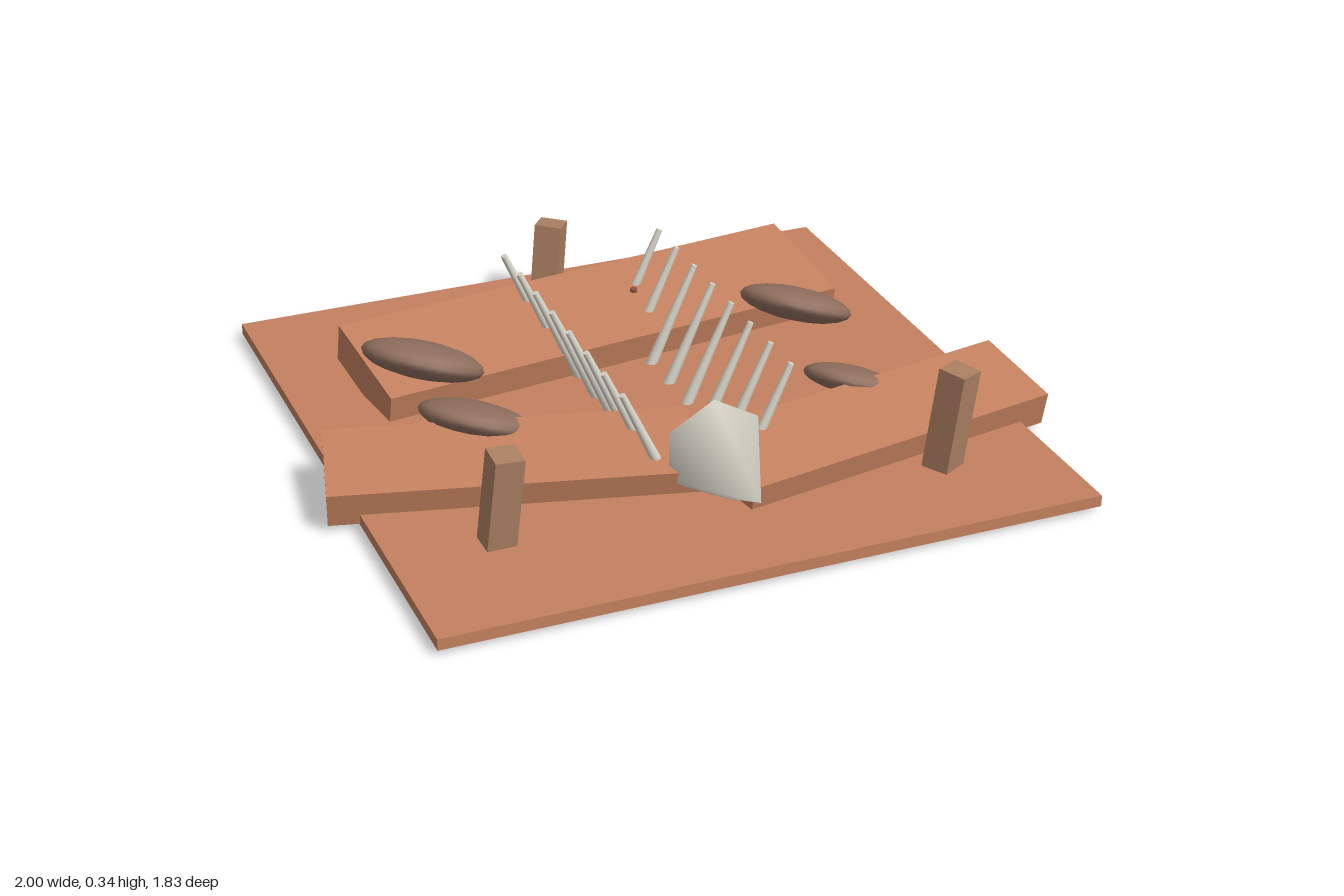
import * as THREE from 'three';
import { mergeVertices } from 'three/addons/utils/BufferGeometryUtils.js';

const material = (name, color) => {
  const m = new THREE.MeshStandardMaterial({ color });
  m.name = name;
  return m;
};

// Weld corners so shading runs smoothly over the whole form
function smooth(geometry) {
  geometry.deleteAttribute('normal');
  geometry.deleteAttribute('uv');
  const g = mergeVertices(geometry, 1e-5);
  g.computeVertexNormals();
  return g;
}

export function createModel() {
  const model = new THREE.Group();
  model.name = 'desertBoneyard';
  const clay = material('clay', 0xc4815f);
  const stone = material('stone', 0x91705f);
  const wood = material('wood', 0xab7f62);
  const bone = material('bone', 0xdcd8cc);
  const water = material('water', 0x78e0a0);
  const reed = material('reed', 0x8a5540);

  const add = (name, geometry, mat, x, y, z) => {
    const mesh = new THREE.Mesh(geometry, mat);
    mesh.name = name;
    mesh.position.set(x, y, z);
    model.add(mesh);
    return mesh;
  };

  // Ground plate
  add('ground', new THREE.BoxGeometry(1.83, 0.032, 1.83), clay, 0, 0.031, 0);

  // Leaning rock ledges, sloping down to the front
  const ledges = [
    ['backLedge', 1.435, 0.117, 0.357, 0, 0.104, -0.43, 0.12],
    ['rightLedge', 0.975, 0.1, 0.27, -0.4925, 0.093, 0.255, -0.25],
    ['leftLedge', 0.975, 0.1, 0.27, 0.4925, 0.093, 0.4225, 0.18],
  ];
  for (const [name, w, h, d, x, y, z, yaw] of ledges) {
    add(name, new THREE.BoxGeometry(w, h, d), clay, x, y, z)
      .rotation.set(0.2, yaw, 0, 'YXZ');
  }

  // Flat tilted boulders
  const boulders = [
    [0.175, -0.56, 0.165, -0.275],
    [0.158, -0.522, 0.14, 0.06],
    [0.132, 0.523, 0.125, 0.207],
    [0.164, 0.553, 0.16, -0.218],
  ];
  for (const [r, x, y, z] of boulders) {
    const b = add('boulder', new THREE.SphereGeometry(r, 16, 10), stone, x, y, z);
    b.scale.y = 0.3;
    b.rotation.set(-0.3, 0, -0.34);
  }

  // Leaning posts: centre, height, yaw, lean about x and z
  const posts = [
    [-0.621, 0.17, 0.55, 0.28, 0, 0.09, -0.08],
    [0.619, 0.18, 0.615, 0.305, 0.5, 0.04, -0.11],
    [0.002, 0.145, -0.79, 0.24, -0.6, -0.07, -0.11],
  ];
  for (const [x, y, z, h, yaw, rx, rz] of posts) {
    add('post', new THREE.BoxGeometry(0.08, h, 0.08), wood, x, y, z)
      .rotation.set(rx, yaw, rz, 'XZY');
  }

  // Pairs of tapered ribs spreading outward
  const up = new THREE.Vector3(0, 1, 0);
  for (let i = 0; i < 8; i++) {
    for (const side of [-1, 1]) {
      const z = -0.495 + i * 0.1307;
      const from = new THREE.Vector3(side * 0.105, 0.035, z);
      const to = new THREE.Vector3(side * 0.24, 0.332, z);
      const dir = to.clone().sub(from);
      const rib = add('rib', new THREE.CylinderGeometry(0.009, 0.017, dir.length(), 8),
        bone, 0, 0, 0);
      rib.position.addVectors(from, to).multiplyScalar(0.5);
      rib.quaternion.setFromUnitVectors(up, dir.normalize());
    }
  }

  // Six-sided pointed skull facing forward
  const skull = smooth(new THREE.ConeGeometry(0.146, 0.305, 6));
  add('skull', skull, bone, 0, 0.147, 0.6175).rotation.x = Math.PI / 2;

  // Small pool with two reeds
  add('pool', new THREE.SphereGeometry(0.19, 24, 8), water, 0, 0.047, -0.553)
    .scale.y = 0.06;
  for (const [x, z, top] of [[-0.15, -0.625, 0.125], [0.145, -0.46, 0.175]]) {
    add('reed', new THREE.CylinderGeometry(0.011, 0.011, top - 0.04, 8), reed,
      x, (top + 0.04) / 2, z);
  }

  return model;
}
